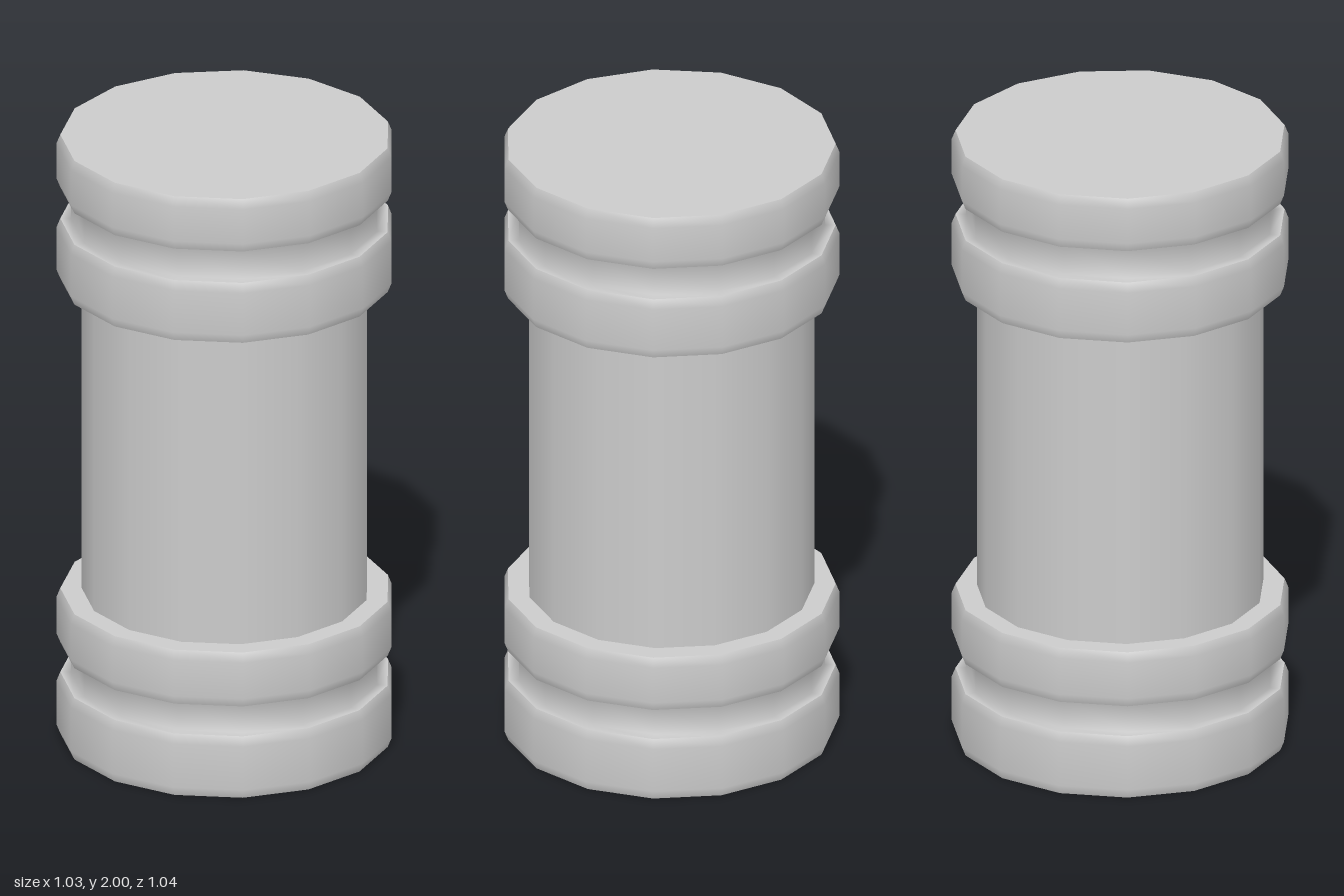
import * as THREE from 'three';

const SIDES = 15;
const RING = 0.521, RIM = 0.509, NECK = 0.476, BODY = 0.443;

export function createModel() {
  const group = new THREE.Group();
  const material = new THREE.MeshStandardMaterial({ color: 0xcccccc });

  // Turned strip, smooth along its profile, with a corner pointing to +x
  const turn = (name, points) => {
    const profile = points.map(([r, y]) => new THREE.Vector2(r, y));
    const mesh = new THREE.Mesh(new THREE.LatheGeometry(profile, SIDES, Math.PI / 2), material);
    mesh.name = name;
    mesh.position.x = -0.006; // centres the odd-sided outline
    group.add(mesh);
  };

  // Bevelled rings
  const ring = (name, y0, y1) => {
    turn(name, [[RIM, y0], [RING, y0 + 0.03], [RING, y1 - 0.03], [RIM, y1]]);
  };
  ring('baseRing', 0, 0.205);
  ring('lowerRing', 0.305, 0.485);
  ring('upperRing', 1.52, 1.72);
  ring('topRing', 1.825, 2);

  // Necks between each pair of rings, blending into the ledges
  const neck = (name, y0, y1) => {
    turn(name, [[RIM, y0], [NECK, y0], [NECK, y1], [RIM, y1]]);
  };
  neck('lowerNeck', 0.205, 0.305);
  neck('upperNeck', 1.72, 1.825);

  // Shaft and the flat ledges at its ends
  turn('shaft', [[BODY, 0.485], [BODY, 1.52]]);
  turn('lowerLedge', [[RIM, 0.485], [BODY, 0.485]]);
  turn('upperLedge', [[BODY, 1.52], [RIM, 1.52]]);

  // End caps
  turn('bottomCap', [[0, 0], [RIM, 0]]);
  turn('topCap', [[RIM, 2], [0, 2]]);

  return group;
}
